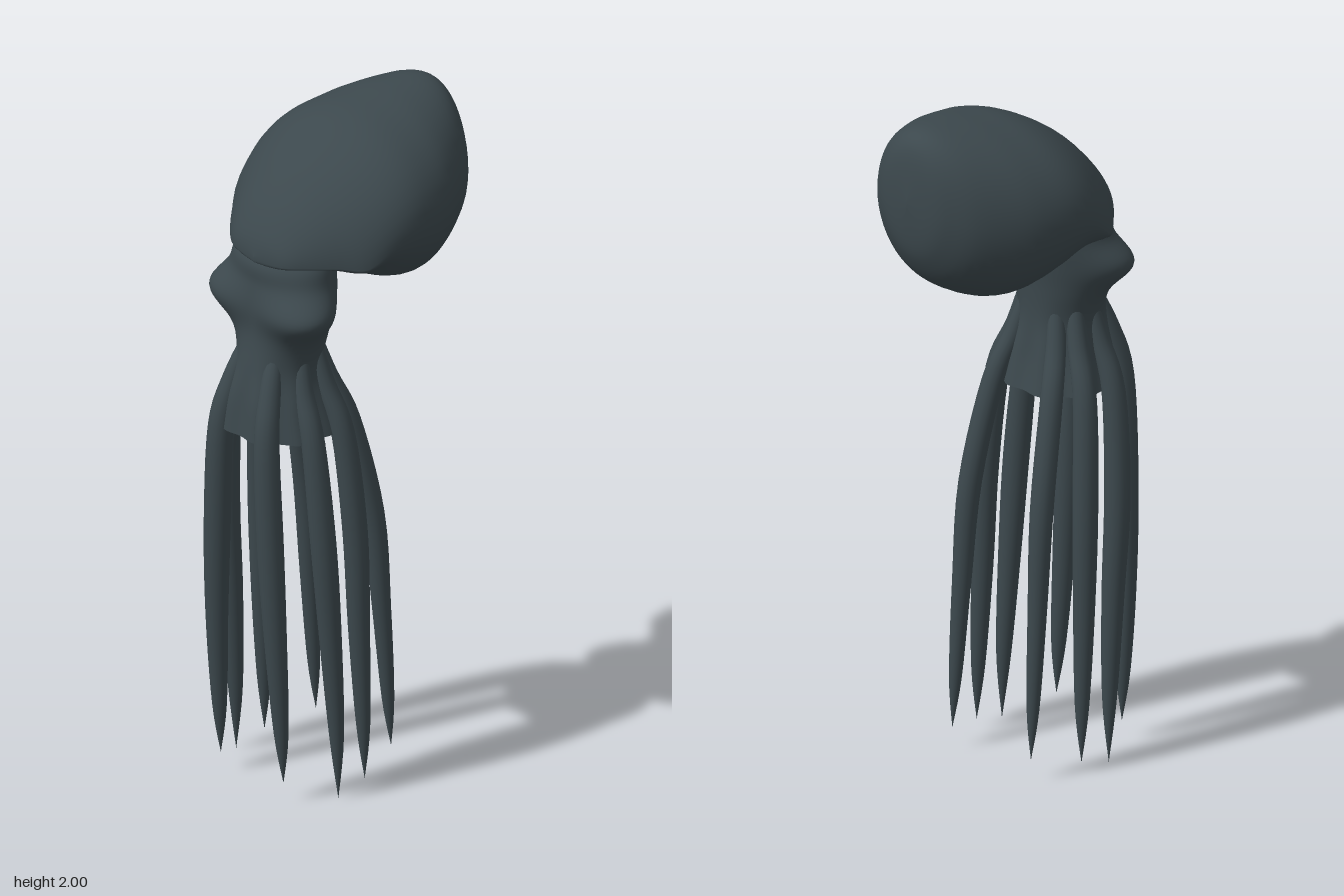
import * as THREE from 'three';

const skin = new THREE.MeshStandardMaterial({ color: 0x3c484d, side: THREE.DoubleSide });
skin.name = 'slate skin';

// Catmull-Rom blend of rows of numbers, u in 0..1
function sampleRows(rows, u) {
  const last = rows.length - 1;
  const i = Math.min(Math.floor(u * last), last - 1);
  const t = u * last - i;
  const p0 = rows[Math.max(i - 1, 0)], p1 = rows[i], p2 = rows[i + 1], p3 = rows[Math.min(i + 2, last)];
  return p1.map((b, k) => {
    const a = p0[k], c = p2[k], d = p3[k];
    return b + 0.5 * t * (c - a + t * (2 * a - 5 * b + 4 * c - d + t * (3 * (b - c) + d - a)));
  });
}

// Smooth skin over closed rings; pointAt(row, angle) gives [x, y, z]
function loft(name, rows, steps, sides, pointAt) {
  const pos = [], index = [];
  for (let i = 0; i <= steps; i++) {
    const row = sampleRows(rows, i / steps);
    for (let j = 0; j < sides; j++) {
      pos.push(...pointAt(row, (j / sides) * Math.PI * 2));
      if (i === steps) continue;
      const k = (j + 1) % sides;
      const a = i * sides + j, b = i * sides + k;
      index.push(a, a + sides, b, b, a + sides, b + sides);
    }
  }
  const geo = new THREE.BufferGeometry();
  geo.setAttribute('position', new THREE.Float32BufferAttribute(pos, 3));
  geo.setIndex(index);
  geo.computeVertexNormals();
  const mesh = new THREE.Mesh(geo, skin);
  mesh.name = name;
  return mesh;
}

export function createModel() {
  const model = new THREE.Group();
  model.name = 'octopus';

  // Mantle: z, half width, top, widest height, bottom
  const mantle = [
    [-0.387, 0, 1.81, 1.8, 1.79],
    [-0.376, 0.085, 1.92, 1.79, 1.68],
    [-0.352, 0.14, 1.978, 1.78, 1.61],
    [-0.3, 0.205, 2.0, 1.76, 1.54],
    [-0.2, 0.27, 1.996, 1.745, 1.48],
    [-0.12, 0.3, 1.985, 1.735, 1.465],
    [-0.03, 0.312, 1.968, 1.73, 1.495],
    [0.05, 0.305, 1.935, 1.7, 1.55],
    [0.13, 0.28, 1.885, 1.64, 1.59],
    [0.19, 0.225, 1.832, 1.64, 1.612],
    [0.25, 0.165, 1.765, 1.638, 1.615],
    [0.295, 0.1, 1.69, 1.632, 1.615],
    [0.31, 0, 1.635, 1.628, 1.62],
  ];
  model.add(loft('mantle', mantle, 48, 48, ([z, w, top, mid, bottom], a) => {
    const c = Math.cos(a);
    return [Math.max(w, 0) * Math.sin(a), mid + c * (c > 0 ? top - mid : mid - bottom), z];
  }));

  // Head, neck and web: y, centre z, half width, half depth, scallop depth
  const head = [
    [1.7, 0.14, 0.12, 0.08, 0],
    [1.62, 0.19, 0.165, 0.112, 0],
    [1.55, 0.19, 0.165, 0.117, 0],
    [1.48, 0.197, 0.16, 0.115, 0],
    [1.4, 0.202, 0.145, 0.112, 0],
    [1.3, 0.212, 0.125, 0.123, 0.01],
    [1.2, 0.215, 0.148, 0.147, 0.05],
    [1.1, 0.21, 0.175, 0.165, 0.05],
  ];
  model.add(loft('headAndWeb', head, 42, 64, ([y, cz, rx, rz, scallop], a) => {
    // raised eye bulges on both sides
    const side = Math.abs(a > Math.PI ? a - 2 * Math.PI : a);
    const eye = 0.075 * Math.exp(-(((y - 1.48) / 0.07) ** 2) - ((side - 1.08) / 0.68) ** 2);
    const dip = 1 - scallop * (1 + Math.cos(8 * a));
    return [Math.sin(a) * (rx * dip + eye), y, cz + Math.cos(a) * (rz * dip + eye)];
  }));

  // Arms: y, x, z, radius
  const arms = {
    frontArm: [
      [1.38, 0.05, 0.27, 0.02], [1.25, 0.075, 0.315, 0.03], [1.1, 0.095, 0.346, 0.036], [0.8, 0.11, 0.346, 0.038],
      [0.5, 0.122, 0.337, 0.032], [0.22, 0.128, 0.322, 0.021], [0.065, 0.13, 0.315, 0],
    ],
    frontSideArm: [
      [1.38, 0.09, 0.22, 0.02], [1.25, 0.12, 0.235, 0.029], [1.1, 0.172, 0.242, 0.034], [0.8, 0.2, 0.23, 0.037],
      [0.5, 0.205, 0.208, 0.032], [0.2, 0.21, 0.19, 0.021], [0.005, 0.212, 0.185, 0],
    ],
    backSideArm: [
      [1.38, 0.09, 0.17, 0.02], [1.25, 0.12, 0.155, 0.029], [1.1, 0.172, 0.132, 0.034], [0.8, 0.197, 0.11, 0.036],
      [0.5, 0.202, 0.1, 0.031], [0.2, 0.206, 0.088, 0.02], [0.033, 0.208, 0.084, 0],
    ],
    backArm: [
      [1.38, 0.05, 0.14, 0.02], [1.25, 0.08, 0.11, 0.028], [1.1, 0.115, 0.058, 0.032], [0.8, 0.142, -0.005, 0.033],
      [0.5, 0.15, -0.03, 0.027], [0.22, 0.154, -0.05, 0.018], [0.068, 0.156, -0.06, 0],
    ],
  };
  for (const [name, rows] of Object.entries(arms)) {
    for (const [label, s] of [['Left', 1], ['Right', -1]]) {
      model.add(loft(name + label, rows, 30, 14, ([y, x, z, r], a) =>
        [s * x + r * Math.sin(a), y, z + r * Math.cos(a)]));
    }
  }
  return model;
}
